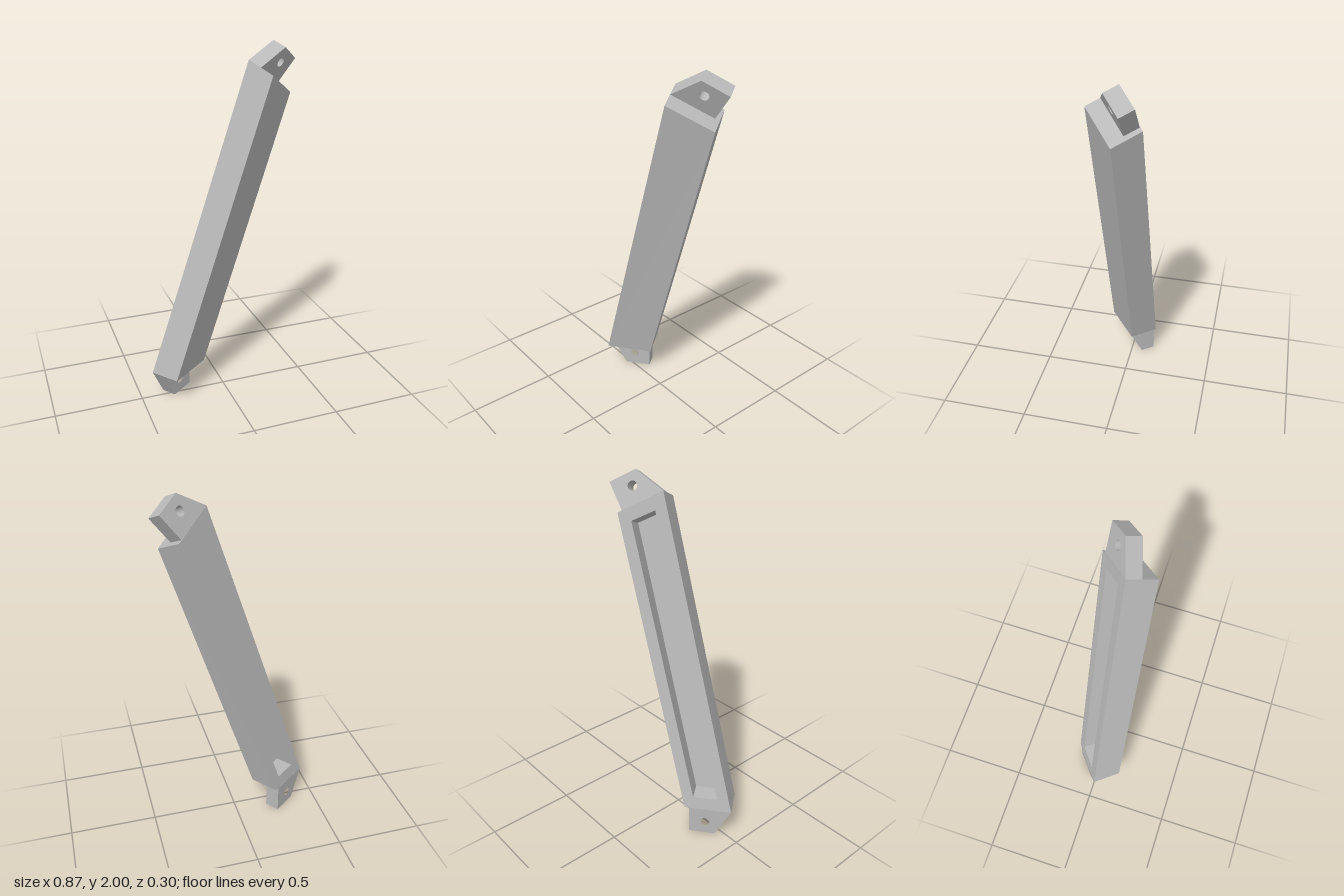
import * as THREE from 'three';

const V = (x, y, z) => new THREE.Vector3(x, y, z);

// Corners of the slanted beam: [back-right, front, back-left] at each end;
// the fourth corner completes the rectangle.
const LOW = [V(-0.435, 0.17, 0.015), V(-0.33, 0.17, 0.15), V(-0.22, 0.17, -0.15)];
const HIGH = [V(0.135, 1.91, 0.015), V(0.215, 1.845, 0.15), V(0.31, 1.79, -0.15)];

const onEnd = ([a, b, d], u, v) => a.clone()
  .addScaledVector(d.clone().sub(a), u)
  .addScaledVector(b.clone().sub(a), v);

// Point in the beam: u across, v through the thickness, t along the length
const at = (u, v, t) => onEnd(LOW, u, v).lerp(onEnd(HIGH, u, v), t);

function beamGeometry() {
  const pos = [];
  const quad = (...p) => [0, 1, 2, 0, 2, 3].forEach(i => pos.push(...at(...p[i]).toArray()));

  // Plain outer faces
  quad([0, 0, 0], [0, 1, 0], [0, 1, 1], [0, 0, 1]);
  quad([1, 0, 0], [1, 0, 1], [1, 1, 1], [1, 1, 0]);
  quad([0, 1, 0], [1, 1, 0], [1, 1, 1], [0, 1, 1]);
  quad([0, 0, 0], [1, 0, 0], [1, 1, 0], [0, 1, 0]);
  quad([0, 0, 1], [0, 1, 1], [1, 1, 1], [1, 0, 1]);

  // Long pocket in the back: rim, walls and floor
  const m = 0.24, e = 0.041, depth = 0.62;
  const outer = [[0, 0, 0], [0, 0, 1], [1, 0, 1], [1, 0, 0]];
  const rim = [[m, 0, e], [m, 0, 1 - e], [1 - m, 0, 1 - e], [1 - m, 0, e]];
  const floor = rim.map(([u, , t]) => [u, depth, t]);
  for (let i = 0; i < 4; i++) {
    const j = (i + 1) % 4;
    quad(outer[i], outer[j], rim[j], rim[i]);
    quad(rim[i], rim[j], floor[j], floor[i]);
  }
  quad(...floor);

  const g = new THREE.BufferGeometry();
  g.setAttribute('position', new THREE.Float32BufferAttribute(pos, 3));
  g.computeVertexNormals();
  return g;
}

// Drilled plate: front outline in space, thickened by half the beam's depth
function lugGeometry([a, b], outline, hole) {
  const z = a.clone().sub(b);
  const depth = z.length() / 2;
  z.normalize();
  const origin = outline[0];
  const x = outline[3].clone().sub(origin);
  x.addScaledVector(z, -x.dot(z)).normalize();
  const y = z.clone().cross(x);
  const flat = p => {
    const d = p.clone().sub(origin);
    return new THREE.Vector2(d.dot(x), d.dot(y));
  };
  const shape = new THREE.Shape(outline.map(flat));
  const c = flat(hole);
  shape.holes.push(new THREE.Path().absarc(c.x, c.y, 0.026, 0, Math.PI * 2, true));
  const g = new THREE.ExtrudeGeometry(shape, { depth, bevelEnabled: false, curveSegments: 16 });
  return g.applyMatrix4(new THREE.Matrix4().makeBasis(x, y, z).setPosition(origin));
}

export function createModel() {
  const group = new THREE.Group();
  const grey = new THREE.MeshStandardMaterial({ color: 0xb8b8b8 });
  grey.name = 'plain grey';
  const add = (name, geometry) => {
    const mesh = new THREE.Mesh(geometry, grey);
    mesh.name = name;
    group.add(mesh);
  };

  add('beam', beamGeometry());
  add('lowerLug', lugGeometry(LOW, [
    V(-0.3825, 0.17, 0.0825), V(-0.31, 0, 0.025), V(-0.19, 0, -0.068), V(-0.19, 0.17, -0.068),
  ], V(-0.265, 0.08, -0.01)));
  add('upperLug', lugGeometry(HIGH, [
    V(0.175, 1.8775, 0.0825), V(0.33, 1.97, 0.025), V(0.43, 1.9, -0.07), V(0.333, 1.77, -0.068),
  ], V(0.32, 1.89, -0.005)));
  return group;
}
